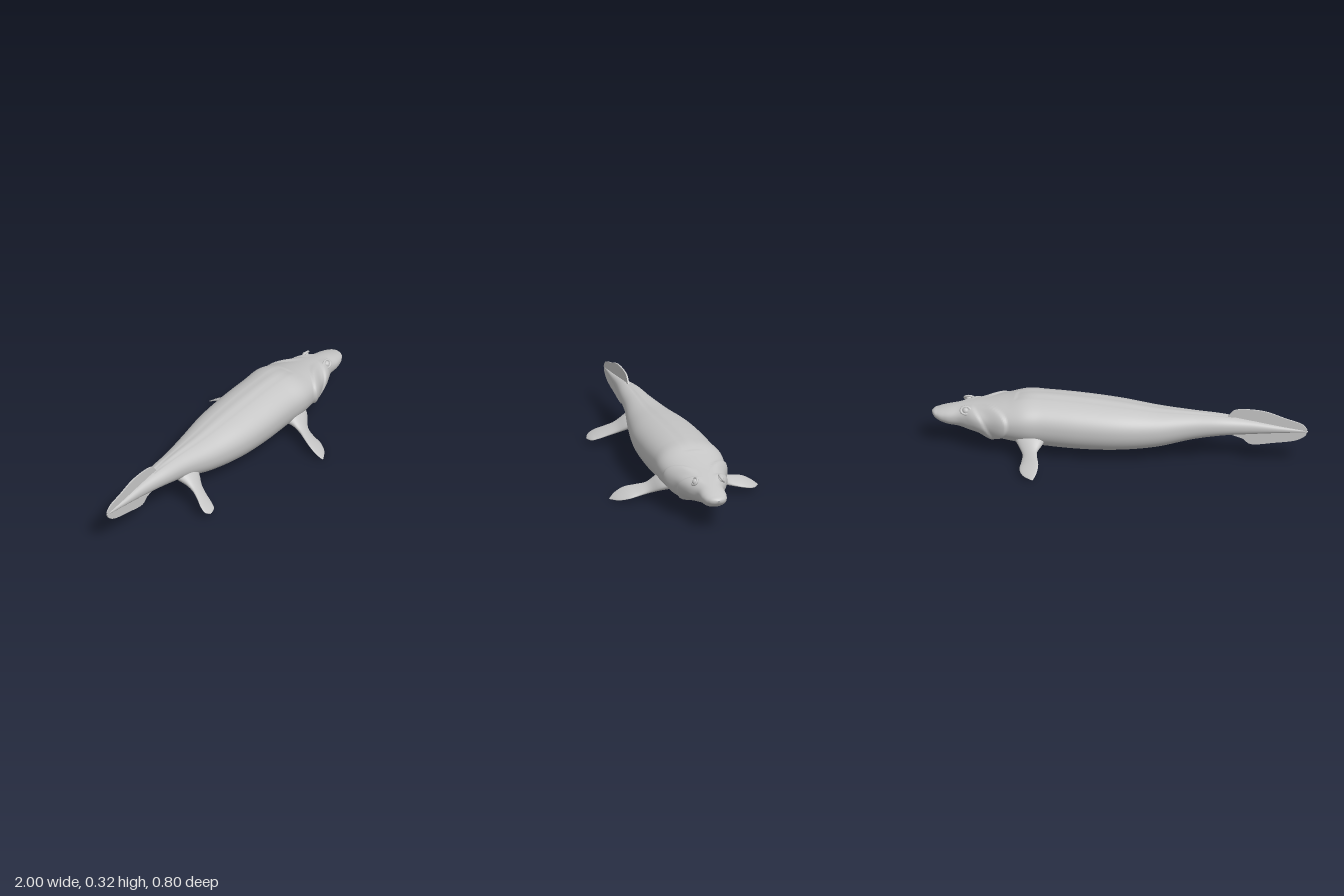
import * as THREE from 'three';

const skin = new THREE.MeshStandardMaterial({ color: 0xc6c6c6 });
skin.name = 'grey skin';
const { smoothstep } = THREE.MathUtils;

// Smooth lookup through rows of [position, value, value, ...]
function track(rows) {
  const n = rows[0].length - 1;
  const spline = new THREE.CubicInterpolant(rows.map(r => r[0]), rows.flatMap(r => r.slice(1)), n, new Float32Array(n));
  return p => Array.from(spline.evaluate(p));
}

// Closed skin over rings of points; pointAt(t, angle) returns [x, y, z]
function loft(name, pointAt, steps, sides) {
  const pos = [], index = [];
  for (let i = 0; i <= steps; i++) {
    for (let j = 0; j < sides; j++) pos.push(...pointAt(i / steps, (j / sides) * Math.PI * 2));
  }
  for (let i = 0; i < steps; i++) {
    for (let j = 0; j < sides; j++) {
      const a = i * sides + j, d = i * sides + (j + 1) % sides;
      const b = a + sides, c = d + sides;
      index.push(a, b, c, a, c, d);
    }
  }
  const geo = new THREE.BufferGeometry();
  geo.setAttribute('position', new THREE.Float32BufferAttribute(pos, 3));
  geo.setIndex(index);
  geo.computeVertexNormals();
  const mesh = new THREE.Mesh(geo, skin);
  mesh.name = name;
  return mesh;
}

// Body stations: x, top, bottom, half width
const bodyAt = track([
  [-1, 0.203, 0.195, 0.003],
  [-0.85, 0.222, 0.183, 0.018],
  [-0.7, 0.245, 0.168, 0.034],
  [-0.55, 0.265, 0.153, 0.06],
  [-0.4, 0.272, 0.125, 0.08],
  [-0.2, 0.28, 0.072, 0.125],
  [0, 0.3, 0.047, 0.162],
  [0.2, 0.315, 0.04, 0.174],
  [0.4, 0.322, 0.048, 0.175],
  [0.5, 0.319, 0.058, 0.18],
  [0.6, 0.292, 0.07, 0.163],
  [0.7, 0.267, 0.085, 0.133],
  [0.78, 0.251, 0.1, 0.108],
  [0.85, 0.236, 0.114, 0.074],
  [0.92, 0.218, 0.125, 0.067],
  [0.965, 0.204, 0.143, 0.052],
  [0.99, 0.194, 0.163, 0.029],
  [1, 0.184, 0.178, 0.002]
]);

// Raised gill cover and cheek plate: sharp rear edge, fading forward
function plateRise(x, angle) {
  const a = Math.asin(Math.sin(angle));
  const fade = 1 - smoothstep(Math.abs(a), 0.9, 1.35);
  const plate = (edge, length) =>
    smoothstep(x, edge - 0.008, edge + 0.008) * (1 - smoothstep(x, edge + 0.015, edge + length));
  return fade * (0.011 * plate(0.58 + 0.08 * a * a, 0.11) + 0.008 * plate(0.71 + 0.06 * a, 0.1));
}

function bodyPoint(t, angle) {
  const x = -Math.cos(Math.PI * t);
  const [top, bottom, half] = bodyAt(x);
  const mid = bottom + (top - bottom) * 0.55;
  const round = v => Math.sign(v) * Math.abs(v) ** 0.93;
  const c = round(Math.cos(angle)), s = round(Math.sin(angle));
  const rise = plateRise(x, angle);
  // Low ridge along the spine
  const ridge = 0.005 * smoothstep(Math.sin(angle), 0.98, 1) * smoothstep(x, -0.6, -0.4) * (1 - smoothstep(x, 0.4, 0.55));
  return [x, mid + s * ((s > 0 ? top - mid : mid - bottom) + rise) + ridge - 0.003 * Math.sign(ridge), c * (half + rise)];
}

// Paddle fin from rows of [reach, x, half chord, y, half thickness, tilt]
function paddle(name, side, rows) {
  const at = track(rows);
  const start = rows[0][0], end = rows[rows.length - 1][0];
  return loft(name, (t, angle) => {
    const reach = start + (end - start) * Math.sin(t * Math.PI / 2);
    const [x, chord, y, thick, tilt] = at(reach);
    const c = Math.cos(angle), s = Math.sin(angle);
    return [x + chord * c, y - side * thick * s - tilt * c, side * reach];
  }, 36, 28);
}

const leftFin = [
  [0.11, 0.465, 0.09, 0.125, 0.045, 0],
  [0.165, 0.455, 0.066, 0.105, 0.034, 0.004],
  [0.21, 0.428, 0.04, 0.075, 0.021, 0.01],
  [0.26, 0.407, 0.042, 0.058, 0.015, 0.015],
  [0.32, 0.388, 0.05, 0.041, 0.01, 0.016],
  [0.37, 0.368, 0.034, 0.019, 0.006, 0.009],
  [0.4, 0.35, 0.004, 0.003, 0.002, 0]
];
const rightX = [0.465, 0.455, 0.45, 0.446, 0.44, 0.428, 0.412];
const rightFin = leftFin.map(([z, x, chord, y, thick, tilt], i) =>
  [z, rightX[i], chord, y + 0.002 * i, thick, tilt]);
const hindFin = [
  [0.04, -0.36, 0.08, 0.155, 0.045, 0],
  [0.09, -0.37, 0.058, 0.128, 0.032, 0.003],
  [0.13, -0.387, 0.043, 0.102, 0.021, 0.008],
  [0.18, -0.41, 0.042, 0.078, 0.014, 0.01],
  [0.23, -0.434, 0.046, 0.054, 0.01, 0.008],
  [0.262, -0.445, 0.032, 0.037, 0.006, 0.003],
  [0.273, -0.45, 0.004, 0.031, 0.002, 0]
];

// Thin upright tail fin wrapping the end of the body
function tailFin() {
  const shape = new THREE.Shape();
  shape.moveTo(-0.55, 0.22);
  shape.lineTo(-0.575, 0.262);
  shape.splineThru([[-0.61, 0.298], [-0.68, 0.308], [-0.78, 0.3], [-0.88, 0.268], [-0.965, 0.242], [-0.996, 0.21]]
    .map(p => new THREE.Vector2(...p)));
  shape.splineThru([[-0.985, 0.175], [-0.93, 0.143], [-0.82, 0.122], [-0.7, 0.105], [-0.65, 0.135], [-0.57, 0.16]]
    .map(p => new THREE.Vector2(...p)));
  const geo = new THREE.ExtrudeGeometry(shape, { depth: 0.008, bevelEnabled: false, curveSegments: 36 });
  geo.translate(0, 0, -0.004);
  const mesh = new THREE.Mesh(geo, skin);
  mesh.name = 'tailFin';
  return mesh;
}

// Eyeball with a raised rim, facing up and outward
function eye(side) {
  const group = new THREE.Group();
  group.name = side > 0 ? 'leftEye' : 'rightEye';
  const ball = new THREE.Mesh(new THREE.SphereGeometry(0.018, 24, 16), skin);
  ball.name = 'eyeball';
  const rim = new THREE.Mesh(new THREE.TorusGeometry(0.02, 0.006, 10, 28), skin);
  rim.name = 'eyeRim';
  rim.scale.x = 1.25;
  rim.position.z = 0.006;
  group.add(ball, rim);
  group.position.set(0.81, 0.23, side * 0.069);
  group.rotation.set(side > 0 ? -0.6 : Math.PI + 0.6, 0, 0);
  return group;
}

export function createModel() {
  const model = new THREE.Group();
  model.name = 'lobeFinnedFish';
  model.add(
    loft('body', bodyPoint, 300, 72),
    tailFin(),
    paddle('leftFrontFin', 1, leftFin),
    paddle('rightFrontFin', -1, rightFin),
    paddle('leftHindFin', 1, hindFin),
    eye(1),
    eye(-1)
  );
  return model;
}
